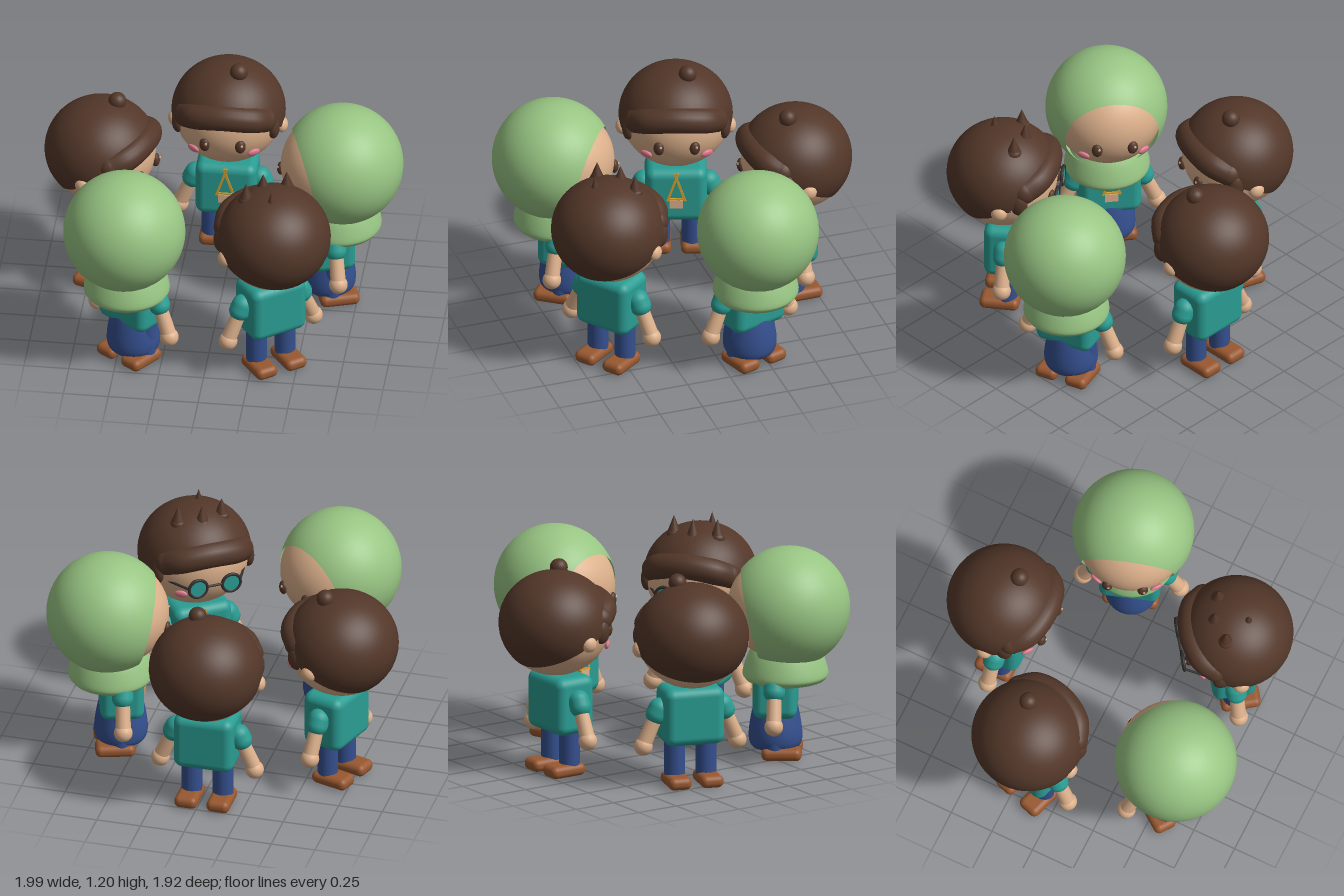
import * as THREE from 'three';
import { RoundedBoxGeometry } from 'three/addons/geometries/RoundedBoxGeometry.js';

const mat = (name, color, side = THREE.FrontSide) => {
  const m = new THREE.MeshStandardMaterial({ color, side });
  m.name = name;
  return m;
};

const M = {
  skin: mat('skin', 0xdcb08b),
  hair: mat('dark brown hair', 0x533729, THREE.DoubleSide),
  scarf: mat('soft green scarf', 0x98c583, THREE.DoubleSide),
  shirt: mat('teal shirt', 0x2a9d93),
  jeans: mat('blue denim', 0x35508f, THREE.DoubleSide),
  shoe: mat('brown leather', 0x985830),
  blush: mat('pink blush', 0xe07b8e),
  strap: mat('yellow strap', 0xd9a22c),
  frame: mat('dark frame', 0x33302f),
};

function add(parent, name, geo, material, x = 0, y = 0, z = 0) {
  const mesh = new THREE.Mesh(geo, material);
  mesh.name = name;
  mesh.position.set(x, y, z);
  parent.add(mesh);
  return mesh;
}

const ellipsoid = (a, b, c, w = 24, h = 16) => new THREE.SphereGeometry(1, w, h).scale(a, b, c);
const lathe = (pts) => new THREE.LatheGeometry(
  new THREE.SplineCurve(pts.map(p => new THREE.Vector2(...p))).getPoints(20), 40);

// Straight round limb between two points, thicker at one end if wanted
function limb(parent, name, a, b, ra, rb, material) {
  const from = new THREE.Vector3(...a), to = new THREE.Vector3(...b);
  const dir = to.clone().sub(from);
  const mesh = add(parent, name, new THREE.CylinderGeometry(rb, ra, dir.length(), 16), material);
  mesh.position.copy(from).add(to).multiplyScalar(0.5);
  mesh.quaternion.setFromUnitVectors(new THREE.Vector3(0, 1, 0), dir.normalize());
  return mesh;
}

const HEAD_Z = -0.035, HEAD_Y = 0.86;

function addBody(g) {
  add(g, 'shirt', new RoundedBoxGeometry(0.342, 0.327, 0.245, 4, 0.05), M.shirt, 0, 0.407, 0);
  for (const s of [-1, 1]) {
    add(g, 'leg', new THREE.CylinderGeometry(0.058, 0.058, 0.22, 20), M.jeans, s * 0.09, 0.16, 0);
    add(g, 'shoe', new RoundedBoxGeometry(0.13, 0.07, 0.222, 4, 0.032), M.shoe, s * 0.092, 0.037, -0.037);
    // Short puffed sleeve, bare forearm and round hand
    const sleeve = add(g, 'sleeve', new THREE.CapsuleGeometry(0.06, 0.035, 6, 20), M.shirt, s * 0.187, 0.43, 0);
    sleeve.rotation.z = s * 0.45;
    limb(g, 'arm', [s * 0.195, 0.41, 0], [s * 0.268, 0.245, 0], 0.04, 0.043, M.skin);
    add(g, 'hand', ellipsoid(0.052, 0.052, 0.052), M.skin, s * 0.27, 0.235, 0);
    // Neck strap
    const strap = add(g, 'strap', new THREE.BoxGeometry(0.013, 0.185, 0.008), M.strap, s * 0.02, 0.475, 0.128);
    strap.rotation.z = s * 0.32;
  }
  add(g, 'badgeBar', new THREE.BoxGeometry(0.09, 0.01, 0.008), M.strap, 0, 0.4, 0.128);
  add(g, 'badge', new THREE.BoxGeometry(0.075, 0.05, 0.014), M.skin, 0, 0.37, 0.13);
}

function addFace(h) {
  add(h, 'head', ellipsoid(0.304, 0.288, 0.302, 40, 28), M.skin, 0, -0.005, 0);
  for (const s of [-1, 1]) {
    add(h, 'eye', ellipsoid(0.03, 0.04, 0.022), M.hair, s * 0.1, -0.06, 0.286).rotation.y = s * 0.3;
    add(h, 'eyeGlint', ellipsoid(0.008, 0.009, 0.005, 10, 8), M.skin, s * 0.1 + 0.01, -0.045, 0.306);
    const cheek = add(h, 'cheek', ellipsoid(0.038, 0.024, 0.014), M.blush, s * 0.168, -0.125, 0.232);
    cheek.rotation.set(0.3, s * 0.6, 0, 'YXZ');
  }
}

function addHair(h) {
  // Cap of hair tipped towards the nape
  const cap = new THREE.SphereGeometry(1, 48, 28, 0, Math.PI * 2, 0, 1.84);
  add(h, 'hairCap', cap.rotateX(-0.56).scale(0.316, 0.293, 0.314), M.hair);
  // Thick rolled fringe with rounded ends
  const pts = [[-0.212, 0.045, 0.15], [-0.15, 0.08, 0.218], [0, 0.102, 0.25], [0.15, 0.08, 0.218], [0.212, 0.045, 0.15]]
    .map(p => new THREE.Vector3(...p));
  add(h, 'fringe', new THREE.TubeGeometry(new THREE.CatmullRomCurve3(pts), 32, 0.075, 18), M.hair);
  for (const s of [-1, 1]) {
    add(h, 'fringeEnd', ellipsoid(0.075, 0.075, 0.075), M.hair, s * 0.212, 0.045, 0.15);
    add(h, 'sideLock', ellipsoid(0.035, 0.07, 0.05), M.hair, s * 0.265, -0.015, 0.13);
    add(h, 'ear', ellipsoid(0.036, 0.045, 0.045), M.skin, s * 0.298, -0.065, 0.025);
  }
}

function addBun(h) {
  add(h, 'bun', ellipsoid(0.05, 0.05, 0.05), M.hair, 0.065, 0.29, 0.067);
}

function addSpikes(h) {
  const spikes = [[0.13, 0.082, 0.043], [0, 0.122, 0.043], [-0.127, 0.081, 0.043], [0.047, -0.058, 0.034]];
  for (const [x, z, r] of spikes) {
    add(h, 'hairSpike', new THREE.ConeGeometry(r, 0.11, 20), M.hair, x, 0.29, z);
    add(h, 'spikeBase', ellipsoid(r, r * 0.8, r), M.hair, x, 0.236, z);
  }
}

function addGlasses(h) {
  for (const s of [-1, 1]) {
    add(h, 'lensRim', new THREE.TorusGeometry(0.053, 0.009, 10, 32), M.frame, s * 0.098, -0.06, 0.318);
    const lens = add(h, 'lens', new THREE.CylinderGeometry(0.053, 0.053, 0.008, 32), M.shirt, s * 0.098, -0.06, 0.318);
    lens.rotation.x = Math.PI / 2;
    limb(h, 'temple', [s * 0.15, -0.055, 0.315], [s * 0.305, -0.055, 0.04], 0.007, 0.007, M.frame);
  }
  limb(h, 'bridge', [-0.045, -0.055, 0.32], [0.045, -0.055, 0.32], 0.007, 0.007, M.frame);
}

function addScarfAndSkirt(g) {
  // Round head scarf, open around the face
  const hood = new THREE.SphereGeometry(0.338, 48, 32, 0, Math.PI * 2, 0.88, Math.PI - 0.88);
  add(g, 'scarfHood', hood.rotateX(Math.PI / 2 + 0.22), M.scarf, 0, 0.854, -0.075);
  // Flared drape over the shoulders
  add(g, 'scarfDrape', lathe([[0.02, 0.437], [0.19, 0.437], [0.228, 0.455], [0.237, 0.49], [0.205, 0.59], [0.16, 0.66]]),
    M.scarf, 0, 0, -0.055);
  add(g, 'skirt', lathe([[0.01, 0.05], [0.105, 0.05], [0.138, 0.07], [0.149, 0.115], [0.143, 0.19], [0.122, 0.295], [0.09, 0.36]]),
    M.jeans);
}

function person(name, kind) {
  const g = new THREE.Group();
  g.name = name;
  addBody(g);
  const h = new THREE.Group();
  h.name = 'headGroup';
  h.position.set(0, HEAD_Y, HEAD_Z);
  g.add(h);
  addFace(h);
  if (kind === 'scarf') addScarfAndSkirt(g);
  else {
    addHair(h);
    if (kind === 'bun') addBun(h);
    else {
      addSpikes(h);
      addGlasses(h);
    }
  }
  return g;
}

export function createModel() {
  const model = new THREE.Group();
  model.name = 'ringOfFriends';
  // Five figures spaced evenly, all facing the middle
  const ring = [
    ['backFriend', 'bun', 0], ['rightFriend', 'bun', 1], ['leftFriend', 'scarf', -1],
    ['frontRightFriend', 'scarf', 2], ['frontLeftFriend', 'spikes', -2],
  ];
  const R = 0.65;
  for (const [name, kind, step] of ring) {
    const a = step * Math.PI * 0.4;
    const p = person(name, kind);
    p.position.set(-0.031 - R * Math.sin(a), 0, 0.03 - R * Math.cos(a));
    p.rotation.y = a;
    model.add(p);
  }
  return model;
}
